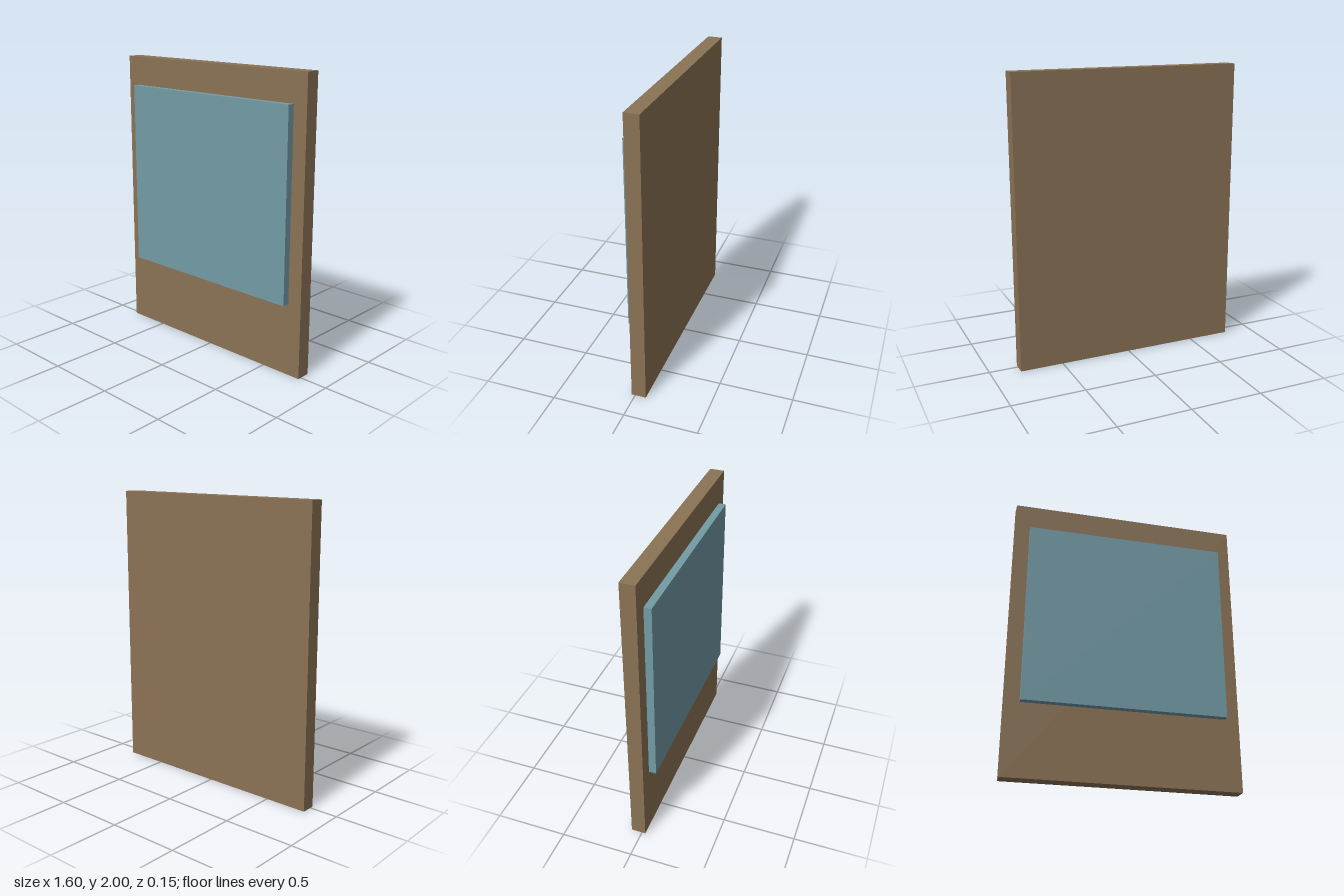
import * as THREE from 'three';

// Box given by its size and centre
function addBox(group, name, color, size, centre) {
  const mesh = new THREE.Mesh(
    new THREE.BoxGeometry(...size),
    new THREE.MeshStandardMaterial({ color })
  );
  mesh.name = name;
  mesh.position.set(...centre);
  group.add(mesh);
}

export function createModel() {
  const group = new THREE.Group();
  group.name = 'framedPhoto';

  // Backing board, standing upright
  addBox(group, 'backingBoard', 0x8b7355, [1.6, 2, 0.1], [0, 1, -0.025]);

  // Raised picture panel on the front, with a wider border below
  addBox(group, 'picturePanel', 0x739ba6, [1.4, 1.3, 0.05], [0, 1.15, 0.05]);

  return group;
}
